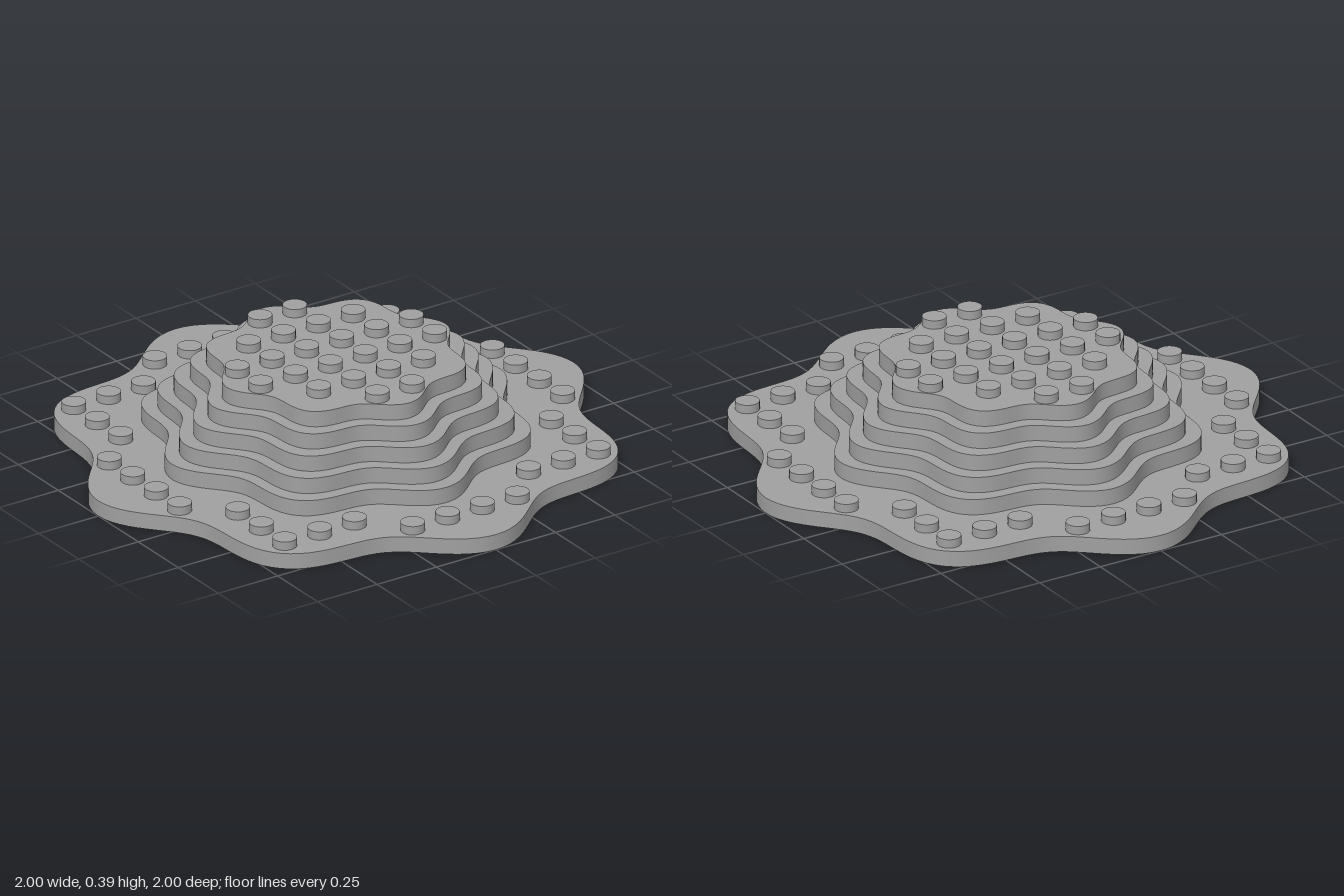
import * as THREE from 'three';
import { toCreasedNormals } from 'three/addons/utils/BufferGeometryUtils.js';

const STEP = 0.059;   // height of one tier
const PITCH = 0.1465; // stud spacing

// Eight-lobed outline with its lobe tips at the given radius
function lobedShape(radius) {
  const points = [];
  for (let i = 0; i < 192; i++) {
    const a = (i / 192) * Math.PI * 2;
    const r = radius * (0.935 + 0.065 * Math.cos(8 * a));
    points.push(new THREE.Vector2(r * Math.cos(a), r * Math.sin(a)));
  }
  return new THREE.Shape(points);
}

function squareHole(h) {
  return new THREE.Path([[-h, -h], [-h, h], [h, h], [h, -h]].map(([x, y]) => new THREE.Vector2(x, y)));
}

function roundHole(r) {
  return new THREE.Path().absarc(0, 0, r, 0, Math.PI * 2, true);
}

export function createModel() {
  const model = new THREE.Group();
  model.name = 'tieredLobedPlatform';
  const grey = new THREE.MeshStandardMaterial({ color: 0xa0a0a0 });
  grey.name = 'grey';

  function addSlab(name, radius, y, height, hole) {
    const shape = lobedShape(radius);
    if (hole) shape.holes.push(hole);
    const extruded = new THREE.ExtrudeGeometry(shape, { depth: height, bevelEnabled: false, curveSegments: 20 });
    extruded.rotateX(-Math.PI / 2);
    const mesh = new THREE.Mesh(toCreasedNormals(extruded, 0.6), grey);
    mesh.name = name;
    mesh.position.y = y;
    model.add(mesh);
  }

  // Base: square recess underneath, with a round socket above it
  addSlab('baseLower', 1, 0, STEP / 2, squareHole(0.146));
  addSlab('baseUpper', 1, STEP / 2, STEP / 2, roundHole(0.058));

  // Five shrinking tiers; the socket runs up through the first
  for (let i = 1; i <= 5; i++) {
    addSlab('tier' + i, 0.69 - 0.0575 * (i - 1), STEP * i, STEP, i === 1 ? roundHole(0.058) : null);
  }

  // Studs
  const studGeometry = new THREE.CylinderGeometry(0.043, 0.043, 0.032, 32);
  function addStuds(name, y, cells) {
    const group = new THREE.Group();
    group.name = name;
    for (const [i, j] of cells) {
      for (const sx of [-1, 1]) for (const sz of [-1, 1]) {
        const stud = new THREE.Mesh(studGeometry, grey);
        stud.name = 'stud';
        stud.position.set(sx * (i + 0.5) * PITCH, y + 0.016, sz * (j + 0.5) * PITCH);
        group.add(stud);
      }
    }
    model.add(group);
  }
  // Grid cells of one quadrant, mirrored to the other three
  addStuds('topStuds', STEP * 6, [[0, 0], [1, 0], [2, 0], [0, 1], [1, 1], [0, 2]]);
  addStuds('baseStuds', STEP, [[0, 5], [1, 5], [2, 4], [3, 4], [4, 4], [4, 3], [4, 2], [5, 1], [5, 0]]);

  return model;
}
